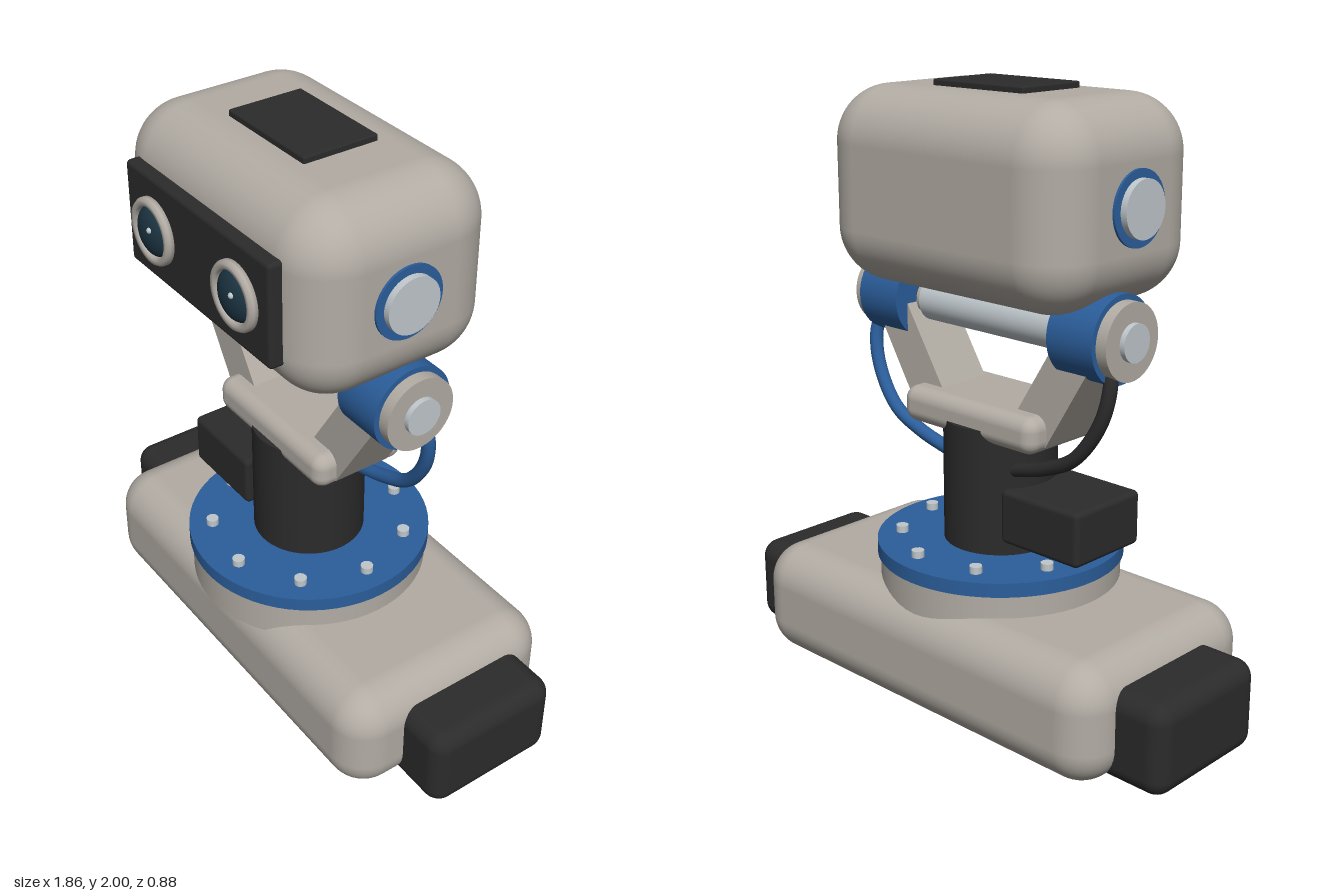
import * as THREE from 'three';
import { RoundedBoxGeometry } from 'three/addons/geometries/RoundedBoxGeometry.js';

const makeMaterial = (name, color) => {
  const m = new THREE.MeshStandardMaterial({ color });
  m.name = name;
  return m;
};

export function createModel() {
  const beige = makeMaterial('warm grey shell', 0xb2aca4);
  const dark = makeMaterial('charcoal', 0x2b2b2b);
  const blue = makeMaterial('blue', 0x2b5e9b);
  const silver = makeMaterial('silver', 0xc0c8cc);
  const glass = makeMaterial('dark lens glass', 0x1c3442);

  const root = new THREE.Group();
  root.name = 'robot';

  const add = (name, geometry, material, x = 0, y = 0, z = 0, parent = root) => {
    const mesh = new THREE.Mesh(geometry, material);
    mesh.name = name;
    mesh.position.set(x, y, z);
    parent.add(mesh);
    return mesh;
  };

  // Rounded box given by its minimum and maximum corners
  const box = (name, material, [x0, y0, z0], [x1, y1, z1], radius, segments = 6) =>
    add(name, new RoundedBoxGeometry(x1 - x0, y1 - y0, z1 - z0, segments, radius), material,
      (x0 + x1) / 2, (y0 + y1) / 2, (z0 + z1) / 2);

  // Upright cylinder between two heights
  const post = (name, material, radius, y0, y1, x = 0, z = 0, sides = 64) =>
    add(name, new THREE.CylinderGeometry(radius, radius, y1 - y0, sides), material, x, (y0 + y1) / 2, z);

  // Cylinder along x between two x values
  const axle = (name, material, radius, x0, x1, y, z) => {
    const g = new THREE.CylinderGeometry(radius, radius, Math.abs(x1 - x0), 48);
    g.rotateZ(Math.PI / 2);
    return add(name, g, material, (x0 + x1) / 2, y, z);
  };

  // Base and side bumpers
  box('base', beige, [-0.76, 0, -0.44], [0.76, 0.39, 0.362], 0.13, 8);
  for (const s of [-1, 1]) {
    const inner = 0.66 * s, outer = 0.93 * s;
    box('sideBumper', dark, [Math.min(inner, outer), 0.015, -0.31],
      [Math.max(inner, outer), 0.315, 0.17], 0.06);
  }

  // Turntable with a ring of bolts
  post('turntableDrum', beige, 0.4, 0.34, 0.47);
  post('turntableDisc', blue, 0.41, 0.465, 0.512);
  for (let i = 0; i < 9; i++) {
    const a = (i / 9) * Math.PI * 2;
    post('bolt', silver, 0.021, 0.5, 0.535, 0.33 * Math.cos(a), 0.33 * Math.sin(a), 12);
  }

  // Neck column, motor box and yoke plate
  post('neckColumn', dark, 0.188, 0.5, 0.93);
  box('motorBox', dark, [-0.455, 0.558, -0.14], [-0.13, 0.74, 0.165], 0.018, 3);
  box('yokePlate', beige, [-0.29, 0.885, -0.172], [0.29, 1.007, 0.168], 0.045);

  // Tilt axle
  const axleY = 1.275, axleZ = -0.01;
  axle('tiltAxle', silver, 0.075, -0.29, 0.29, axleY, axleZ);

  // Slanted yoke arms and tilt joints
  for (const s of [-1, 1]) {
    const arm = new THREE.Shape([[0.495, 1.25], [0.335, 1.27], [0.14, 0.96], [0.285, 0.905]]
      .map(([x, y]) => new THREE.Vector2(x * s, y)));
    add('yokeArm', new THREE.ExtrudeGeometry(arm, { depth: 0.2, bevelEnabled: false }), beige, 0, 0, -0.1);

    axle('axleNeck', dark, 0.05, 0.285 * s, 0.34 * s, axleY, axleZ);
    axle('axleCollar', beige, 0.06, 0.305 * s, 0.318 * s, axleY, axleZ);
    axle('tiltJoint', blue, 0.14, 0.33 * s, 0.508 * s, axleY, axleZ);
    axle('jointCap', beige, 0.122, 0.49 * s, 0.547 * s, axleY, axleZ);
    axle('jointPin', silver, 0.06, 0.53 * s, 0.565 * s, axleY, axleZ);

    // Cable from the joint to the column
    const path = new THREE.CatmullRomCurve3([
      [0.5, 1.22, -0.05], [0.516, 1.13, -0.072], [0.49, 1.02, -0.085],
      [0.4, 0.895, -0.095], [0.28, 0.835, -0.095], [0.12, 0.79, -0.09],
    ].map(([x, y, z]) => new THREE.Vector3(x * s, y, z)));
    add('cable', new THREE.TubeGeometry(path, 40, 0.023, 12), s > 0 ? blue : dark);
  }

  // Head shell, top plate and face panel
  box('head', beige, [-0.52, 1.35, -0.315], [0.52, 1.98, 0.362], 0.18, 10);
  box('topPlate', dark, [-0.19, 1.965, -0.105], [0.19, 2, 0.152], 0.006, 2);
  box('facePanel', dark, [-0.38, 1.495, 0.34], [0.38, 1.835, 0.4], 0.015, 3);

  // Ears and eyes
  const eyeY = 1.665;
  const ringProfile = [[0.08, -0.01], [0.107, -0.01], [0.107, 0.014], [0.1, 0.025], [0.086, 0.025], [0.08, 0.018], [0.08, -0.01]]
    .map(([r, h]) => new THREE.Vector2(r, h));
  for (const s of [-1, 1]) {
    axle('earRing', blue, 0.117, 0.48 * s, 0.528 * s, eyeY, 0.034);
    axle('earCap', silver, 0.09, 0.5 * s, 0.55 * s, eyeY, 0.034);

    const eye = new THREE.Group();
    eye.name = 'eye';
    eye.position.set(0.22 * s, eyeY, 0.4);
    root.add(eye);
    const ring = new THREE.LatheGeometry(ringProfile, 48);
    ring.rotateX(Math.PI / 2);
    const ringMesh = add('eyeRing', ring, beige, 0, 0, 0, eye);
    ringMesh.material = beige;
    const lens = new THREE.SphereGeometry(0.081, 32, 12, 0, Math.PI * 2, 0, Math.PI / 2);
    lens.rotateX(Math.PI / 2);
    lens.scale(1, 1, 0.5);
    add('eyeLens', lens, glass, 0, 0, 0, eye);
    add('eyeGlint', new THREE.SphereGeometry(0.01, 12, 8), silver, 0.025, 0.023, 0.034, eye);
  }

  return root;
}
